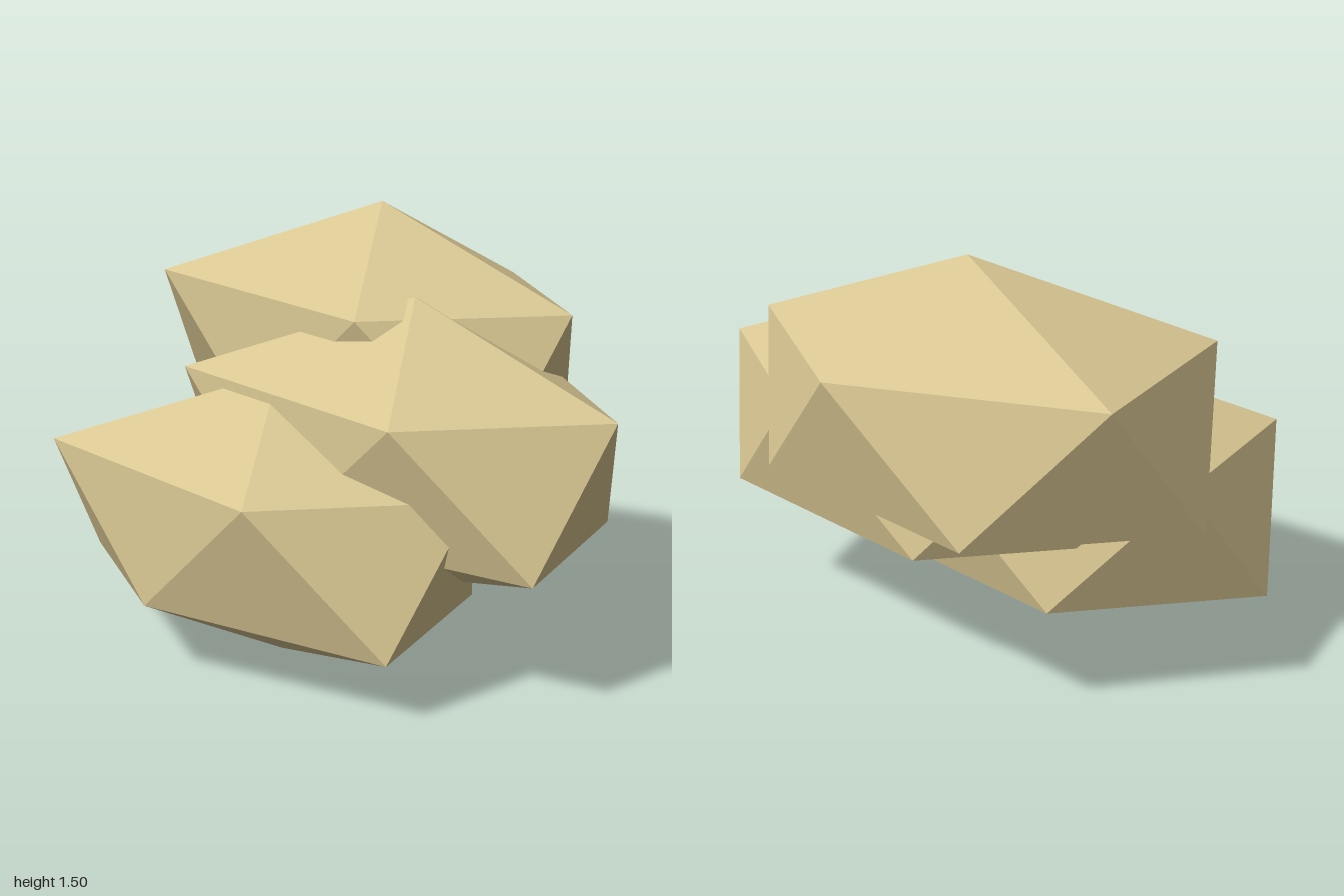
import * as THREE from 'three';

// One faceted stone: top point, two staggered rings of five, bottom point
function stoneGeometry() {
  const top = [0, 0.5, 0], bottom = [0, -0.5, 0];
  const upper = [
    [0.785, 0.19, 0], [0.25, 0.19, 0.51], [-0.725, 0.225, 0.35],
    [-0.68, 0.214, -0.335], [0.24, 0.19, -0.5],
  ];
  const lower = [
    [0.685, -0.287, 0.335], [-0.225, -0.25, 0.457], [-0.86, -0.287, 0],
    [-0.26, -0.272, -0.515], [0.6, -0.255, -0.293],
  ];
  const corners = [];
  for (let i = 0; i < 5; i++) {
    const j = (i + 1) % 5;
    corners.push(
      top, upper[j], upper[i],
      upper[i], upper[j], lower[i],
      lower[i], upper[j], lower[j],
      bottom, lower[i], lower[j],
    );
  }
  const geometry = new THREE.BufferGeometry();
  geometry.setAttribute('position', new THREE.Float32BufferAttribute(corners.flat(), 3));
  geometry.computeVertexNormals();
  return geometry;
}

export function createModel() {
  const model = new THREE.Group();
  model.name = 'stonePile';
  const sand = new THREE.MeshStandardMaterial({ color: 0xd8c692, flatShading: true });
  sand.name = 'sand';

  // Three copies stacked in steps, rising towards the back
  const geometry = stoneGeometry();
  const places = {
    frontStone: [-0.14, 0.5, 0.3],
    middleStone: [0.21, 0.75, 0],
    backStone: [-0.14, 1.0, -0.3],
  };
  for (const [name, place] of Object.entries(places)) {
    const stone = new THREE.Mesh(geometry, sand);
    stone.name = name;
    stone.position.set(...place);
    model.add(stone);
  }
  return model;
}
